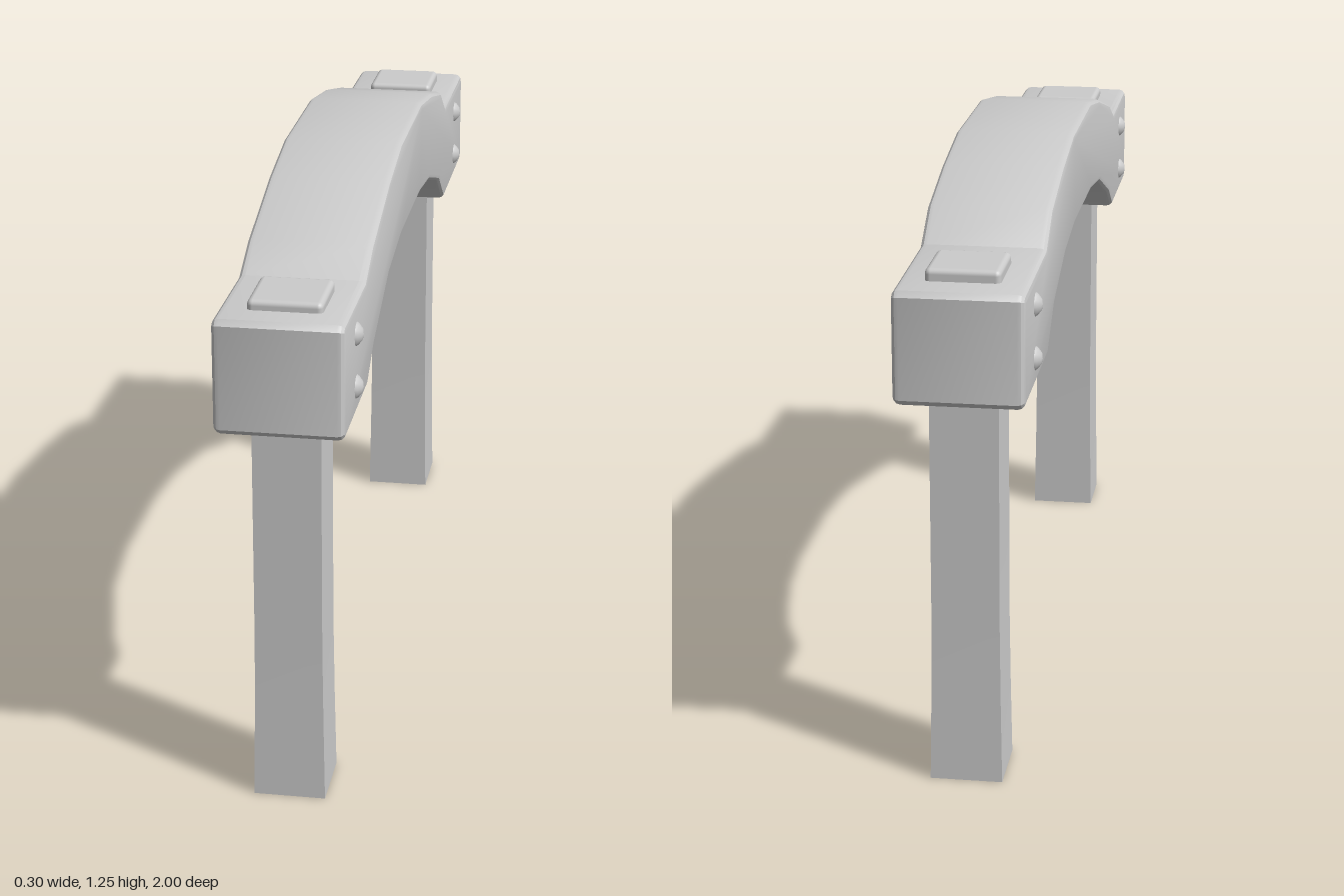
import * as THREE from 'three';
import { toCreasedNormals } from 'three/addons/utils/BufferGeometryUtils.js';
import { RoundedBoxGeometry } from 'three/addons/geometries/RoundedBoxGeometry.js';

const material = new THREE.MeshStandardMaterial({ color: 0xcccccc });
const openMaterial = new THREE.MeshStandardMaterial({ color: 0xcccccc, side: THREE.DoubleSide });

function addMesh(parent, name, geometry, x = 0, y = 0, z = 0, mat = material) {
  const mesh = new THREE.Mesh(geometry, mat);
  mesh.name = name;
  mesh.position.set(x, y, z);
  parent.add(mesh);
  return mesh;
}

// Arched beam: side profile (z, y) extruded across x with rounded edges
function beamGeometry() {
  const profile = [
    [0.988, 0.867], [0.69, 0.867], [0.605, 0.922], [0.38, 1.005], [0.18, 1.032],
    [-0.15, 1.032], [-0.33, 1.01], [-0.53, 0.948], [-0.635, 0.87], [-0.985, 0.867],
    [-0.997, 0.879], [-0.997, 1.095], [-0.985, 1.107], [-0.65, 1.112], [-0.555, 1.175],
    [-0.37, 1.22], [-0.17, 1.252], [0.17, 1.252], [0.36, 1.22], [0.61, 1.155],
    [0.71, 1.11], [0.988, 1.114], [1, 1.102], [1, 0.879],
  ];
  const bevel = 0.016, width = 0.272;
  const shape = new THREE.Shape(profile.map(([z, y]) => new THREE.Vector2(z, y)));
  const geometry = new THREE.ExtrudeGeometry(shape, {
    depth: width - 2 * bevel, bevelThickness: bevel, bevelSize: bevel,
    bevelOffset: -bevel, bevelSegments: 3,
  });
  geometry.translate(0, 0, bevel - width / 2);
  geometry.rotateY(-Math.PI / 2);
  return toCreasedNormals(geometry, 0.5);
}

// Hollow square post, open at both ends, slightly flared at the foot
function postGeometry(height) {
  const geometry = new THREE.CylinderGeometry(Math.SQRT1_2, Math.SQRT1_2, height, 4, 5, true);
  geometry.rotateY(Math.PI / 4);
  geometry.translate(0, height / 2, 0);
  const p = geometry.attributes.position;
  for (let i = 0; i < p.count; i++) {
    const t = p.getY(i) / height;
    const size = 0.145 + 0.01 * Math.max(0, 1 - t * 3);
    p.setXYZ(i, p.getX(i) * size, p.getY(i), p.getZ(i) * size);
  }
  return toCreasedNormals(geometry, 0.5);
}

export function createModel() {
  const model = new THREE.Group();
  model.name = 'archedBeamOnPosts';
  addMesh(model, 'archedBeam', beamGeometry(), -0.004);

  // Low domed bolt head pointing along +x
  const bolt = new THREE.LatheGeometry(
    [[0.026, 0], [0.022, 0.006], [0.012, 0.014], [0, 0.016]].map(([r, h]) => new THREE.Vector2(r, h)), 10);
  bolt.rotateZ(-Math.PI / 2);

  for (const [end, z] of [['front', 0.848], ['back', -0.837]]) {
    const support = new THREE.Group();
    support.name = end + 'Support';
    support.position.z = z;
    model.add(support);
    addMesh(support, 'post', postGeometry(0.9), -0.002, 0, 0, openMaterial);
    addMesh(support, 'postTop', new RoundedBoxGeometry(0.157, 0.08, 0.157, 2, 0.012), -0.002, 1.094, 0);
    for (const side of [1, -1]) {
      for (const y of [0.93, 1.045]) {
        const head = addMesh(support, 'boltHead', bolt, -0.004 + side * 0.135, y, 0);
        if (side < 0) head.rotation.y = Math.PI;
      }
    }
  }
  return model;
}
